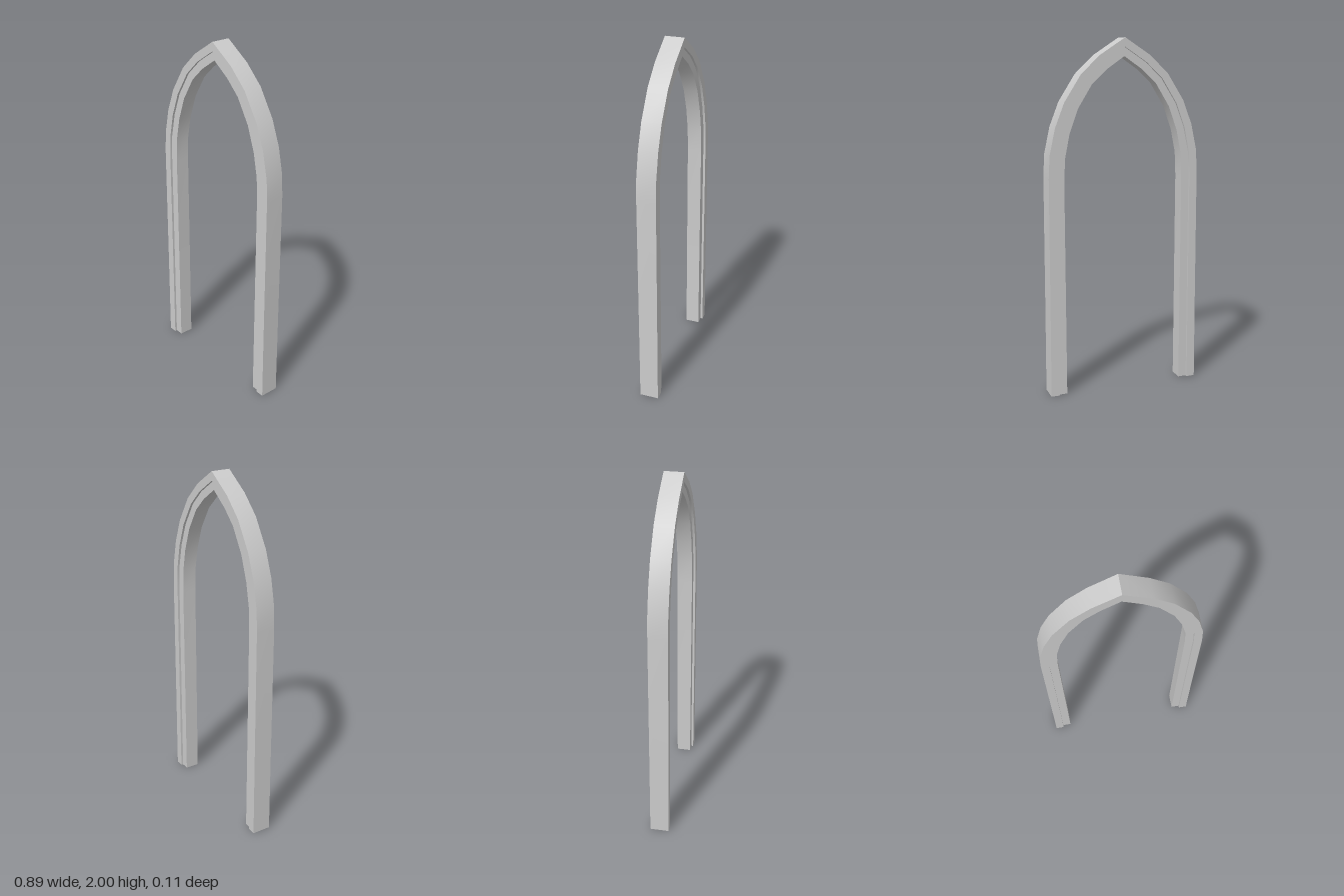
import * as THREE from 'three';
import { toCreasedNormals } from 'three/addons/utils/BufferGeometryUtils.js';

const OUTER_Z = 0.054; // half depth of the proud outer moulding
const INNER_Z = 0.041; // half depth of the recessed inner moulding

// Half of the pointed arch from foot to apex: [outer x, outer y, inner x, inner y]
const HALF = [
  [0.447, 0, 0.35, 0],
  [0.444, 0.5, 0.35, 0.5],
  [0.441, 1.25, 0.35, 1.22],
  [0.434, 1.376, 0.344, 1.355],
  [0.402, 1.522, 0.317, 1.487],
  [0.349, 1.657, 0.268, 1.622],
  [0.254, 1.805, 0.187, 1.752],
  [0.148, 1.905, 0.103, 1.83],
  [0, 2, 0, 1.9],
];

// Stepped cross-section: [position from outer (0) to inner (1) edge, z]
const SECTION = [
  [0, OUTER_Z], [0.5, OUTER_Z], [0.5, INNER_Z], [1, INNER_Z],
  [1, -INNER_Z], [0.5, -INNER_Z], [0.5, -OUTER_Z], [0, -OUTER_Z],
];

// Sweep the section along the stations, leaving the feet open
function sweep(stations) {
  const positions = [];
  const indices = [];
  const n = SECTION.length;
  stations.forEach(([ox, oy, ix, iy], s) => {
    for (const [t, z] of SECTION) {
      positions.push(ox + (ix - ox) * t, oy + (iy - oy) * t, z);
    }
    if (s === 0) return;
    for (let k = 0; k < n; k++) {
      const a = (s - 1) * n + k;
      const b = (s - 1) * n + (k + 1) % n;
      indices.push(a, a + n, b, b, a + n, b + n);
    }
  });
  const geometry = new THREE.BufferGeometry();
  geometry.setAttribute('position', new THREE.Float32BufferAttribute(positions, 3));
  geometry.setIndex(indices);
  return toCreasedNormals(geometry, 0.6);
}

export function createModel() {
  const group = new THREE.Group();
  group.name = 'pointedArch';

  // Right foot up to the apex, then mirrored down to the left foot
  const mirrored = HALF.slice(0, -1).reverse().map(([ox, oy, ix, iy]) => [-ox, oy, -ix, iy]);
  const material = new THREE.MeshStandardMaterial({ color: 0xcccccc, side: THREE.DoubleSide });
  const frame = new THREE.Mesh(sweep([...HALF, ...mirrored]), material);
  frame.name = 'archFrame';
  group.add(frame);
  return group;
}
